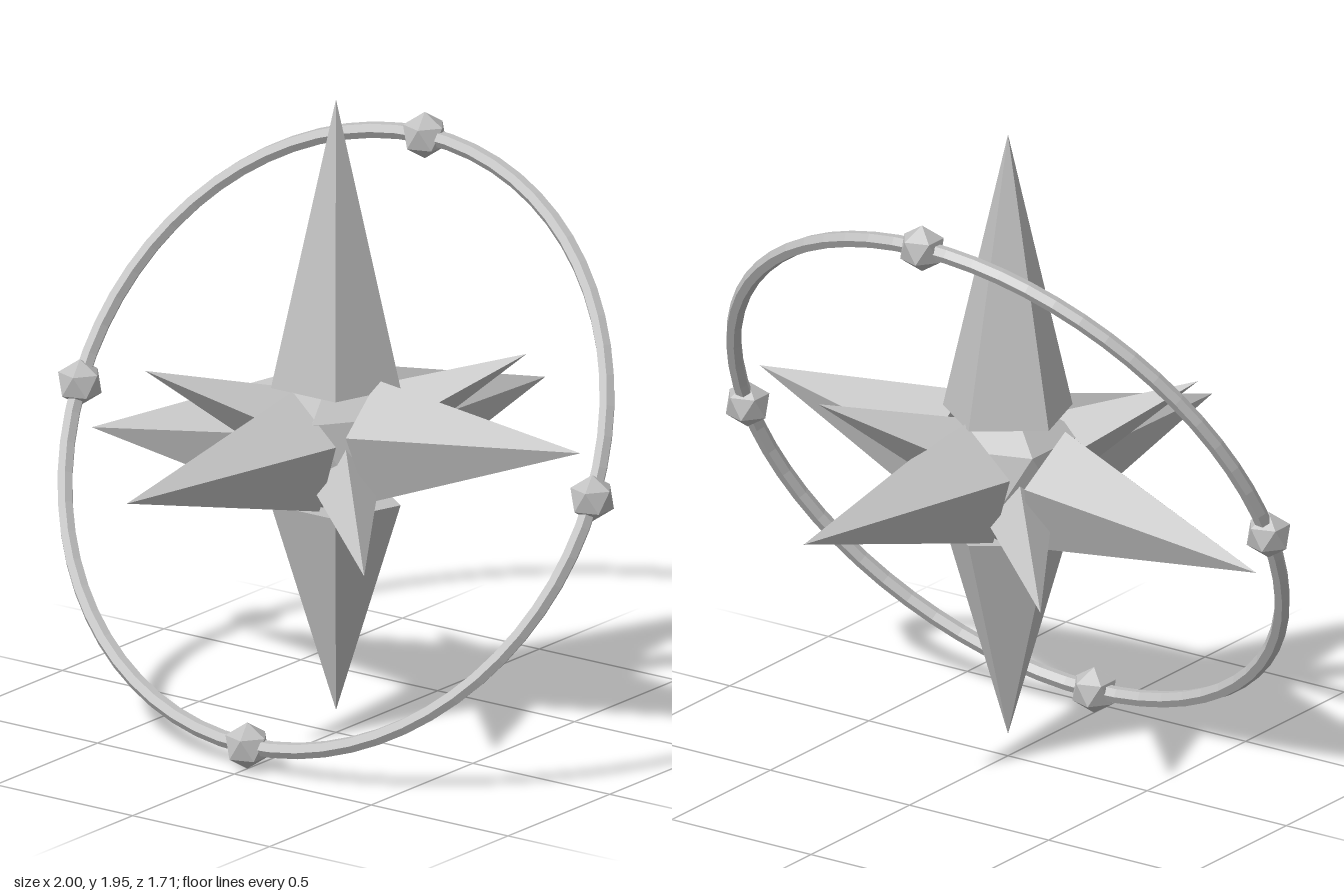
import * as THREE from 'three';

const CENTRE = 0.893;
const RING_RADIUS = 0.936;
const RING_TILT = THREE.MathUtils.degToRad(-27.8);

// Icosahedron standing on one of its corners
function icosahedron(radius) {
  const g = new THREE.IcosahedronGeometry(radius, 0);
  g.rotateZ(-Math.atan(2 / (1 + Math.sqrt(5))));
  return g;
}

// Pyramid whose axis runs from near the centre to the given tip, one ridge facing up
function spike(tip, radius, base, sides) {
  const length = tip.length();
  const g = new THREE.ConeGeometry(radius, length - base, sides, 1);
  g.translate(0, (length + base) / 2, 0);
  const axis = tip.clone().normalize();
  const ridge = Math.abs(axis.y) > 0.99 ? new THREE.Vector3(0, 0, -1) : new THREE.Vector3(0, 1, 0);
  ridge.addScaledVector(axis, -ridge.dot(axis)).normalize();
  const side = new THREE.Vector3().crossVectors(axis, ridge);
  return g.applyMatrix4(new THREE.Matrix4().makeBasis(side, axis, ridge));
}

export function createModel() {
  const model = new THREE.Group();
  model.name = 'starInRing';
  const grey = new THREE.MeshStandardMaterial({ color: 0xc0c0c0, flatShading: true });
  grey.name = 'palegrey';

  const add = (parent, name, geometry) => {
    const mesh = new THREE.Mesh(geometry, grey);
    mesh.name = name;
    parent.add(mesh);
    return mesh;
  };

  // Star: core, six long spikes and four short diagonal ones
  const star = new THREE.Group();
  star.name = 'star';
  star.position.y = CENTRE;
  model.add(star);
  add(star, 'core', icosahedron(0.25));

  const longSpikes = {
    topSpike: [0, 1.05, 0, 0.2],
    bottomSpike: [0, -0.83, 0, 0.2],
    leftSpike: [0.893, 0.13, 0, 0.19],
    rightSpike: [-0.893, -0.13, 0, 0.19],
    frontSpike: [-0.128, 0, 0.857, 0.19],
    backSpike: [0.128, 0, -0.857, 0.19],
  };
  for (const [name, [x, y, z, r]] of Object.entries(longSpikes)) {
    add(star, name, spike(new THREE.Vector3(x, y, z), r, 0.18, 5));
  }
  for (const sx of [-1, 1]) {
    for (const sz of [-1, 1]) {
      const tip = new THREE.Vector3(0.4 * sx, -0.24 * sx * sz, 0.4 * sz);
      add(star, 'diagonalSpike', spike(tip, 0.11, 0.16, 4));
    }
  }

  // Tilted ring
  const ring = add(model, 'ring', new THREE.TorusGeometry(RING_RADIUS, 0.025, 6, 64));
  ring.position.y = CENTRE;
  ring.rotation.x = RING_TILT;

  // Four studs on the ring, kept upright
  for (let i = 0; i < 4; i++) {
    const a = (i * Math.PI) / 2;
    const stud = add(model, 'ringStud', icosahedron(0.0715));
    stud.position.set(Math.cos(a), Math.sin(a), 0).multiplyScalar(RING_RADIUS);
    stud.position.applyAxisAngle(new THREE.Vector3(1, 0, 0), RING_TILT);
    stud.position.y += CENTRE;
  }
  return model;
}
